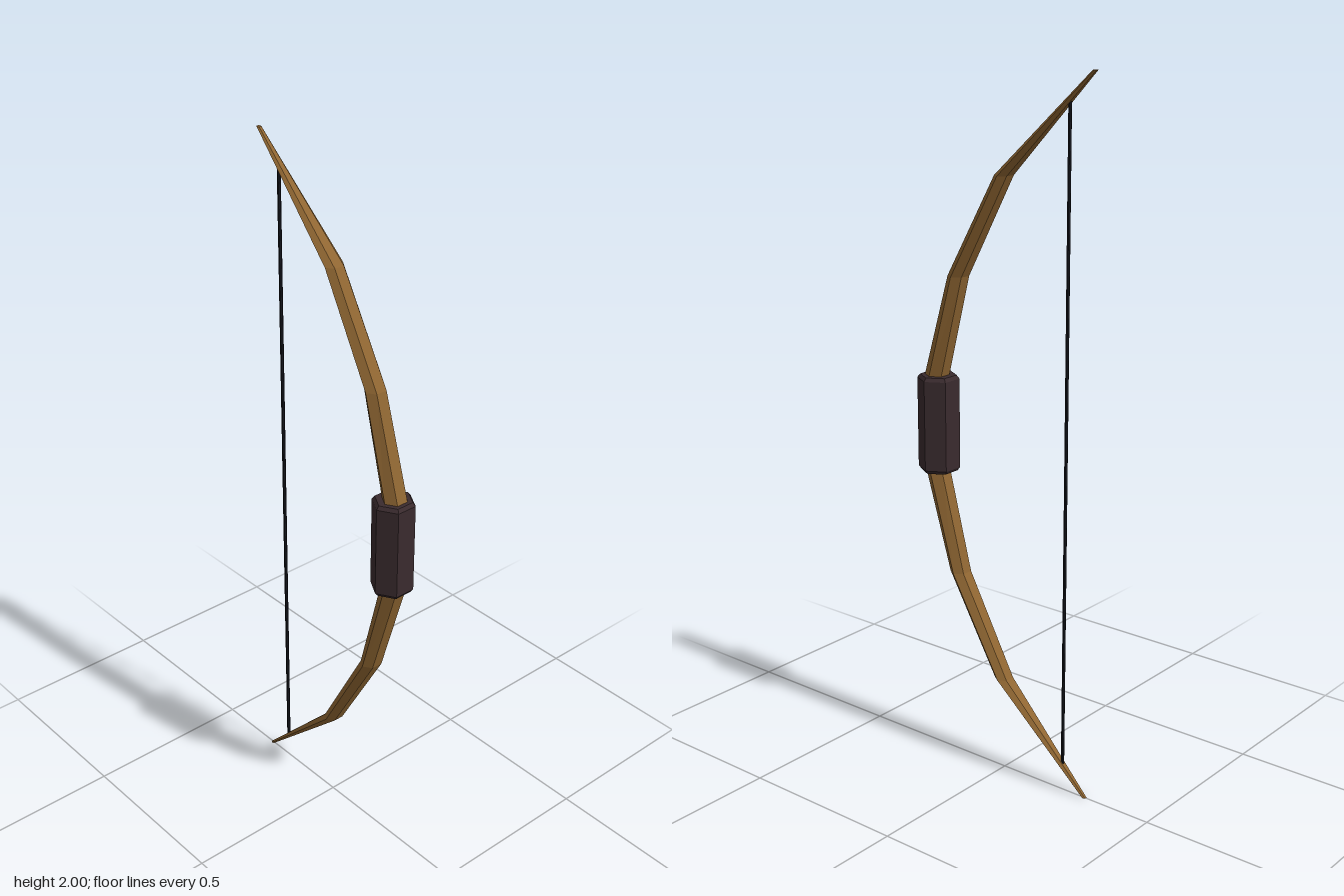
import * as THREE from 'three';

const wood = new THREE.MeshStandardMaterial({ name: 'wood', color: 0x8f6632, flatShading: true });
const leather = new THREE.MeshStandardMaterial({ name: 'dark leather', color: 0x3a2b2e, flatShading: true });
const cord = new THREE.MeshStandardMaterial({ name: 'black cord', color: 0x14151c, flatShading: true });

// Upper half of the bow: [height above middle, z, half width, half depth]
const upper = [
  [0.14, 0.244, 0.035, 0.03],
  [0.43, 0.163, 0.033, 0.0245],
  [0.717, 0.003, 0.03, 0.021],
  [1.0, -0.287, 0.007, 0.006],
];
const rings = [
  ...upper.map(([h, ...rest]) => [1 - h, ...rest]).reverse(),
  ...upper.map(([h, ...rest]) => [1 + h, ...rest]),
];

// Six-sided bar bent along the rings, with corners at the sides
function bowStave() {
  const n = rings.length - 1;
  const geo = new THREE.CylinderGeometry(1, 1, n, 6, n).rotateY(Math.PI / 6);
  const p = geo.attributes.position;
  for (let i = 0; i < p.count; i++) {
    const [y, z, w, d] = rings[Math.round(p.getY(i) + n / 2)];
    p.setXYZ(i, p.getX(i) * w, y, z + p.getZ(i) * d / Math.cos(Math.PI / 6));
  }
  geo.computeVertexNormals();
  return geo;
}

export function createModel() {
  const group = new THREE.Group();
  group.name = 'bow';
  const add = (name, geo, mat, y = 0, z = 0) => {
    const mesh = new THREE.Mesh(geo, mat);
    mesh.name = name;
    mesh.position.set(0, y, z);
    group.add(mesh);
  };

  add('stave', bowStave(), wood);

  // Hexagonal grip with chamfered ends
  const profile = [[0, -0.14], [0.052, -0.14], [0.06, -0.13], [0.06, 0.13], [0.052, 0.14], [0, 0.14]]
    .map(([r, y]) => new THREE.Vector2(r, y));
  add('grip', new THREE.LatheGeometry(profile, 6, Math.PI / 6), leather, 1, 0.24);

  // Taut string between the limb ends
  add('string', new THREE.CylinderGeometry(0.005, 0.005, 1.85, 6), cord, 1, -0.21);

  return group;
}
